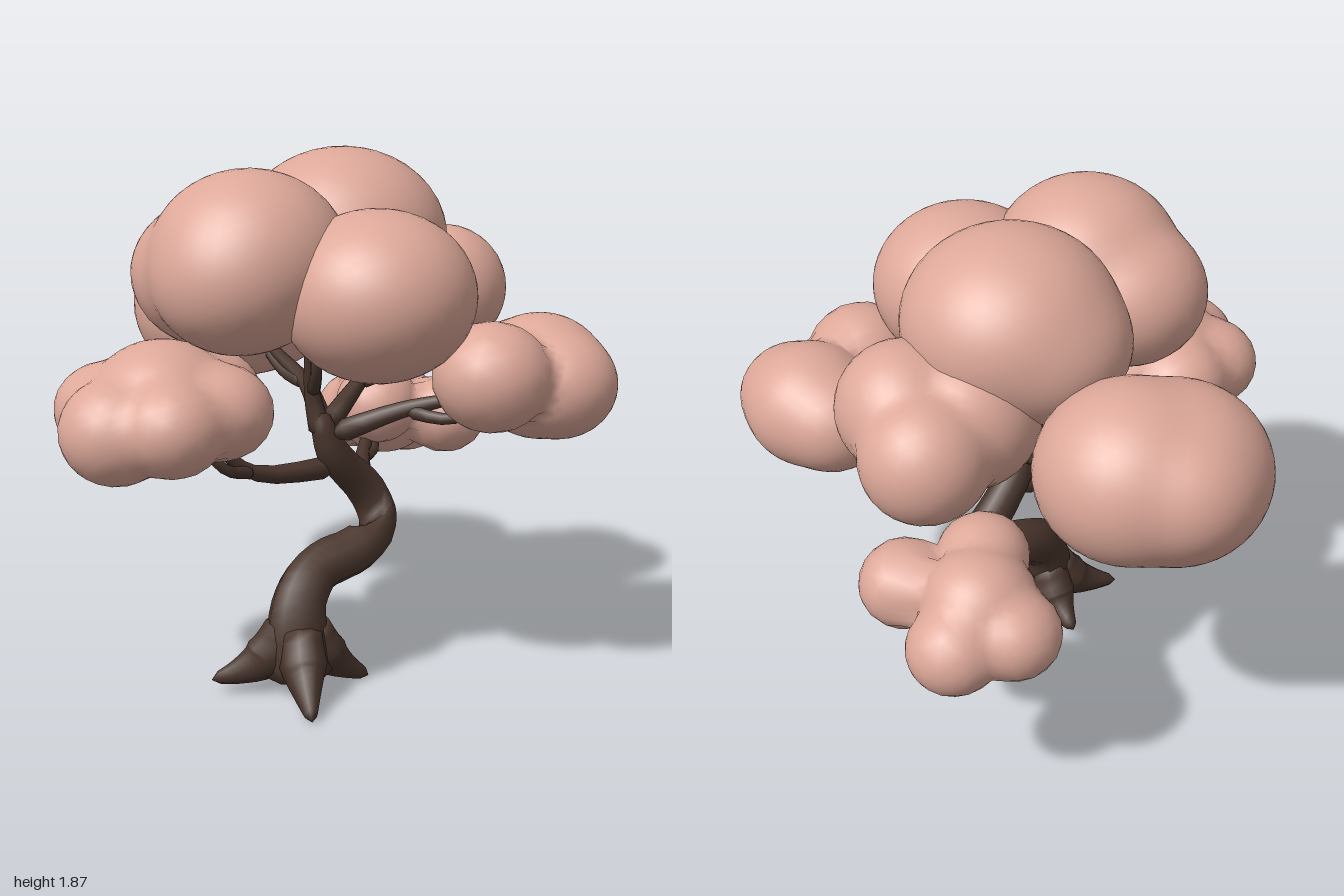
import * as THREE from 'three';
import { mergeVertices } from 'three/addons/utils/BufferGeometryUtils.js';

const V = (a) => new THREE.Vector3(a[0], a[1], a[2]);

// Tapered limb: points are [x, y, z, radius]; both ends are closed.
function limb(name, material, points, sides) {
  const steps = 4;
  const curve = new THREE.CatmullRomCurve3(points.map(V), false, 'centripetal');
  curve.getPointAt = curve.getPoint; // keep rings aligned with the listed radii
  const n = (points.length - 1) * steps;
  const geometry = new THREE.TubeGeometry(curve, n, 1, sides, false);
  const pos = geometry.attributes.position;
  const p = new THREE.Vector3();
  for (let i = 0; i <= n; i++) {
    const centre = curve.getPoint(i / n);
    const k = Math.min(Math.floor(i / steps), points.length - 2);
    const r = i === 0 || i === n ? 0 : THREE.MathUtils.lerp(points[k][3], points[k + 1][3], i / steps - k);
    for (let j = 0; j <= sides; j++) {
      const id = i * (sides + 1) + j;
      p.fromBufferAttribute(pos, id).sub(centre).multiplyScalar(r).add(centre);
      pos.setXYZ(id, p.x, Math.max(0, p.y), p.z);
    }
  }
  geometry.deleteAttribute('uv');
  geometry.deleteAttribute('normal');
  const smooth = mergeVertices(geometry, 1e-5);
  smooth.computeVertexNormals();
  const mesh = new THREE.Mesh(smooth, material);
  mesh.name = name;
  return mesh;
}

// Leaf cloud: an icosphere pushed out to the soft union of its lobes [x, y, z, radius].
function cloud(name, material, squash, lobes) {
  const centre = new THREE.Vector3();
  lobes.forEach((l) => centre.addScaledVector(V(l), 1 / lobes.length));
  const local = lobes.map((l) => {
    const c = V(l).sub(centre);
    c.y /= squash;
    return { c, r: l[3] };
  });
  const raw = new THREE.IcosahedronGeometry(1, 7);
  raw.deleteAttribute('uv');
  raw.deleteAttribute('normal');
  const geometry = mergeVertices(raw, 1e-4);
  const pos = geometry.attributes.position;
  const d = new THREE.Vector3();
  for (let i = 0; i < pos.count; i++) {
    d.fromBufferAttribute(pos, i).normalize();
    let sum = 0;
    for (const { c, r } of local) {
      const along = d.dot(c);
      const h = r * r - c.lengthSq() + along * along;
      if (h > 0) sum += Math.max(0, along + Math.sqrt(h)) ** 24;
    }
    d.multiplyScalar(sum ** (1 / 24));
    pos.setXYZ(i, d.x, d.y * squash, d.z);
  }
  geometry.computeVertexNormals();
  const mesh = new THREE.Mesh(geometry, material);
  mesh.name = name;
  mesh.position.copy(centre);
  return mesh;
}

export function createModel() {
  const tree = new THREE.Group();
  tree.name = 'blossomTree';
  const bark = new THREE.MeshStandardMaterial({ color: 0x4a362d });
  bark.name = 'dark brown bark';
  const blossom = new THREE.MeshStandardMaterial({ color: 0xdda899 });
  blossom.name = 'pink blossom';

  // Leaning, twisted trunk
  tree.add(limb('trunk', bark, [
    [0.2, 0.03, 0.2, 0.13], [0.2, 0.2, 0.21, 0.11], [0.18, 0.33, 0.17, 0.095],
    [0.17, 0.41, 0.07, 0.088], [0.21, 0.46, -0.08, 0.085], [0.21, 0.53, -0.18, 0.075],
    [0.15, 0.63, -0.19, 0.072], [0.13, 0.81, -0.03, 0.06], [0.11, 0.98, 0.03, 0.03],
  ], 10));

  // Spreading roots, each given by its tip
  for (const [x, y, z] of [[0.03, 0.05, 0.46], [0.46, 0.01, 0.38], [0.31, 0.01, -0.04], [-0.04, 0.06, 0.1]]) {
    const at = (t, h, r) => [0.2 + (x - 0.2) * t, h, 0.2 + (z - 0.2) * t, r];
    tree.add(limb('root', bark, [
      at(0.1, 0.26, 0.07), at(0.35, 0.13, 0.085), at(0.65, 0.06 + y * 0.4, 0.05), at(1, y, 0.015),
    ], 8));
  }

  // Branches from the trunk through a knee to a tip, each with a drooping twig
  const addBranch = (start, knee, tip) => {
    const bend = knee.map((v, i) => (v + tip[i]) / 2);
    const droop = [bend[0] + 0.06, bend[1] - 0.05, bend[2] + 0.03];
    tree.add(limb('branch', bark, [[...start, 0.045], [...knee, 0.03], [...bend, 0.022], [...tip, 0.012]], 7));
    tree.add(limb('twig', bark, [[...knee, 0.026], [...droop, 0.02], [...tip, 0.012]], 7));
  };
  addBranch([0.14, 0.63, -0.18], [-0.06, 0.68, -0.37], [-0.25, 0.79, -0.62]);
  addBranch([0.13, 0.75, -0.09], [0.04, 0.77, 0.26], [-0.03, 0.98, 0.52]);
  addBranch([0.12, 0.86, 0.01], [0.09, 1.02, 0.03], [0.14, 1.36, 0.1]);
  addBranch([0.13, 0.87, 0], [0.34, 0.98, -0.16], [0.6, 1.07, -0.36]);
  addBranch([0.12, 0.89, 0], [-0.1, 1, -0.12], [-0.5, 1.15, -0.2]);
  addBranch([0.12, 0.9, 0], [0.08, 1.02, -0.2], [0.05, 1.2, -0.45]);

  // High blossom clouds
  const addCloud = (name, squash, ...lobes) => tree.add(cloud(name, blossom, squash, lobes));
  addCloud('leftCloud', 0.94, [-0.65, 1.22, -0.16, 0.32], [-0.56, 1.25, -0.28, 0.32], [-0.73, 1.25, -0.24, 0.25]);
  addCloud('rightCloud', 0.93, [0.68, 1.11, -0.49, 0.235], [0.78, 1.1, -0.47, 0.2], [0.57, 1.1, -0.5, 0.2], [0.72, 1.16, -0.19, 0.2]);
  addCloud('upperRightCloud', 0.87, [0.45, 1.43, 0.08, 0.33]);
  addCloud('upperFrontCloud', 0.89, [0.1, 1.54, 0.33, 0.335], [-0.08, 1.47, 0.33, 0.285], [0.12, 1.49, 0.4, 0.29]);
  addCloud('crownCloud', 0.86, [0.02, 1.55, -0.18, 0.37], [-0.1, 1.5, -0.16, 0.3]);
  addCloud('backCloud', 1, [0.16, 1.34, -0.56, 0.23], [-0.02, 1.27, -0.66, 0.22], [0, 1.31, -0.43, 0.25]);

  // Low blossom clouds; the front one is a core ringed by small lobes
  const ring = Array.from({ length: 6 }, (_, i) => {
    const a = (i + 0.5) * Math.PI / 3;
    return [-0.01 + 0.2 * Math.cos(a), 1.05 - 0.02 * Math.sin(a), 0.62 + 0.2 * Math.sin(a), 0.18];
  });
  addCloud('lowFrontCloud', 0.9, [-0.01, 1.06, 0.62, 0.255], [0, 1, 0.82, 0.18], ...ring);
  addCloud('lowBackCloud', 0.95, [-0.25, 0.8, -0.68, 0.2], [-0.4, 0.75, -0.68, 0.16], [-0.28, 0.73, -0.84, 0.16],
    [0.01, 0.8, -0.75, 0.16], [-0.14, 0.85, -0.53, 0.16]);

  return tree;
}
